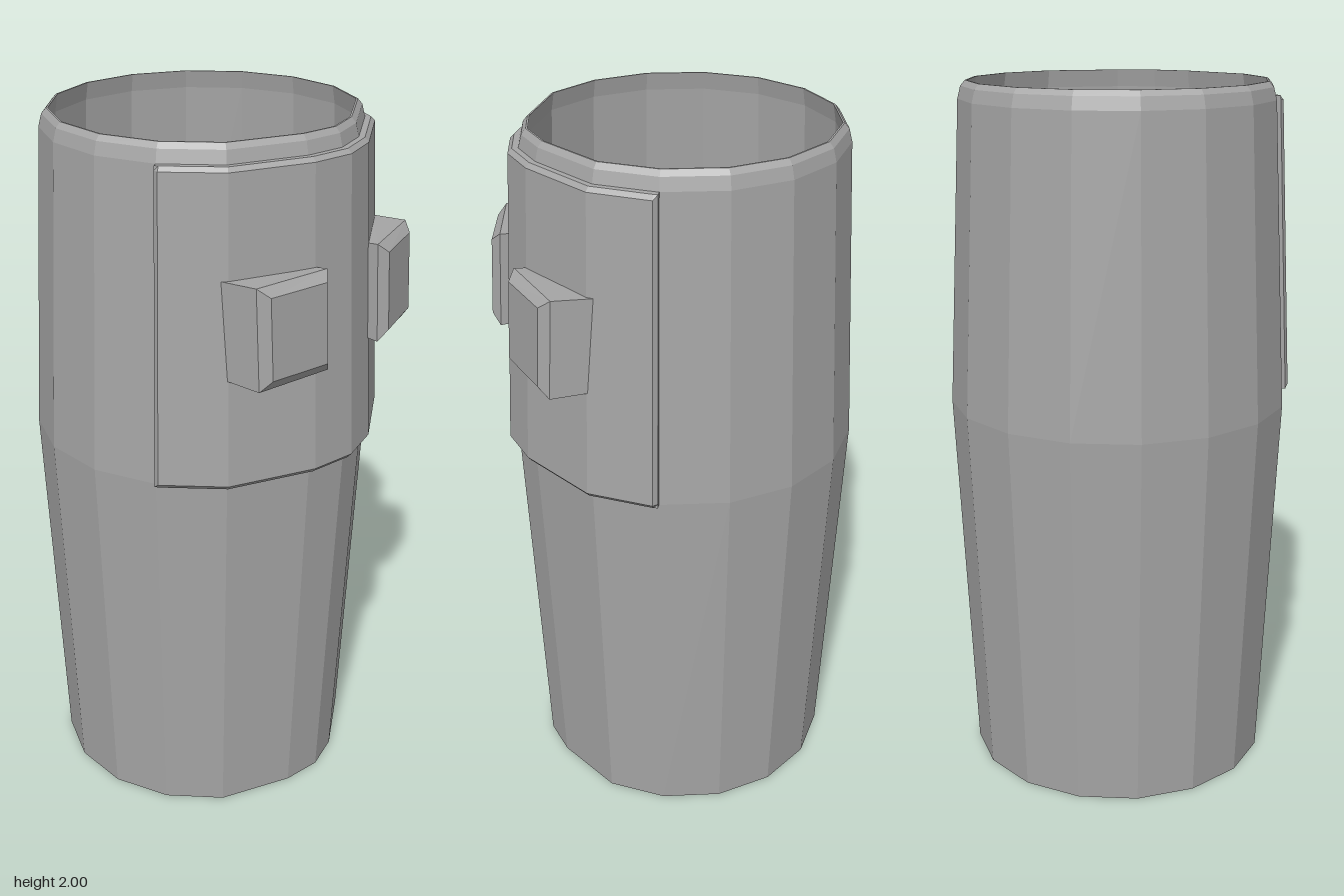
import * as THREE from 'three';

const grey = new THREE.MeshStandardMaterial({ color: 0xa6a6a6, flatShading: true });
grey.name = 'grey';

const CENTRE_Z = -0.02;
// outer wall profile: [y, radius]
const PROFILE = [[0, 0.437], [1.09, 0.487], [1.95, 0.445], [1.985, 0.436], [2, 0.423]];

// facet corners in degrees from the front, narrower beside the front centre
const HALF = [15.5, 45, 67.5, 90, 112.5, 135, 157.5];
const ANGLES = [-180, ...HALF.map(a => -a).reverse(), 0, ...HALF, 180];

function radiusAt(y) {
  for (let i = 1; i < PROFILE.length; i++) {
    const [y0, r0] = PROFILE[i - 1], [y1, r1] = PROFILE[i];
    if (y <= y1) return r0 + (r1 - r0) * (y - y0) / (y1 - y0);
  }
  return PROFILE.at(-1)[1];
}

function wallPoint(deg, y, r) {
  const a = THREE.MathUtils.degToRad(deg);
  const k = Math.abs(deg) === 15.5 ? 0.98 : 1;
  return [Math.sin(a) * r * k, y, CENTRE_Z + Math.cos(a) * r * k];
}

// skins rows of points; faces look outward when columns run left to right and rows run up
function skin(name, rows) {
  const pos = [];
  for (let j = 0; j + 1 < rows.length; j++) {
    for (let i = 0; i + 1 < rows[j].length; i++) {
      const a = rows[j][i], b = rows[j][i + 1], c = rows[j + 1][i + 1], d = rows[j + 1][i];
      pos.push(...a, ...b, ...c, ...a, ...c, ...d);
    }
  }
  const geo = new THREE.BufferGeometry();
  geo.setAttribute('position', new THREE.Float32BufferAttribute(pos, 3));
  geo.computeVertexNormals();
  const mesh = new THREE.Mesh(geo, grey);
  mesh.name = name;
  return mesh;
}

// hollow barrel: outside going up, over the rim, inside going down, closed at the bottom edge
function makeBarrel() {
  const loop = [...PROFILE, [2, 0.418], [1.95, 0.427], [1.09, 0.469], [0, 0.421], [0, 0.437]];
  return skin('barrel', loop.map(([y, r]) => ANGLES.map(a => wallPoint(a, y, r))));
}

// raised front panel with bevelled edges, following the barrel facets
function makePanel() {
  const T = 0.028, S = 0.017, B = -0.008;
  const rows = [[1.09, B], [1.09, S], [1.102, T], [1.938, T], [1.95, S], [1.95, B]];
  const side = [[15.5, T], [45, T], [66, T], [67.5, S], [67.5, B]];
  const cols = [...side.map(([a, o]) => [-a, o]).reverse(), [0, T], ...side];
  return skin('frontPanel', rows.map(([y, ro]) =>
    cols.map(([a, co]) => wallPoint(a, y, radiusAt(y) + Math.min(ro, co)))));
}

// bevelled block on the panel; s = 1 for left, -1 for right
function makeBlock(s) {
  // each ring: inner x, outer x, low y, high y, z at inner edge, z at outer edge
  const rings = [
    [0.125, 0.355, 1.40, 1.665, 0.42, 0.32],
    [0.122, 0.355, 1.395, 1.67, 0.484, 0.43],
    [0.15, 0.332, 1.425, 1.645, 0.503, 0.458],
  ].map(([xi, xo, y0, y1, zi, zo]) => {
    const lean = y => -0.05 * (y - 1.42);
    const p = [[xi, y0, zi], [xo, y0, zo], [xo, y1, zo], [xi, y1, zi]]
      .map(([x, y, z]) => [s * x, y, z + lean(y)]);
    if (s < 0) p.reverse();
    return [...p, p[0]];
  });
  // front cap folds the last ring onto its centre
  const last = rings.at(-1);
  const mid = [0, 1, 2].map(k => (last[0][k] + last[2][k]) / 2);
  rings.push(last.map(() => mid));
  return skin(s > 0 ? 'leftBlock' : 'rightBlock', rings);
}

export function createModel() {
  const model = new THREE.Group();
  model.name = 'barrelSleeve';
  model.add(makeBarrel(), makePanel(), makeBlock(1), makeBlock(-1));
  return model;
}
